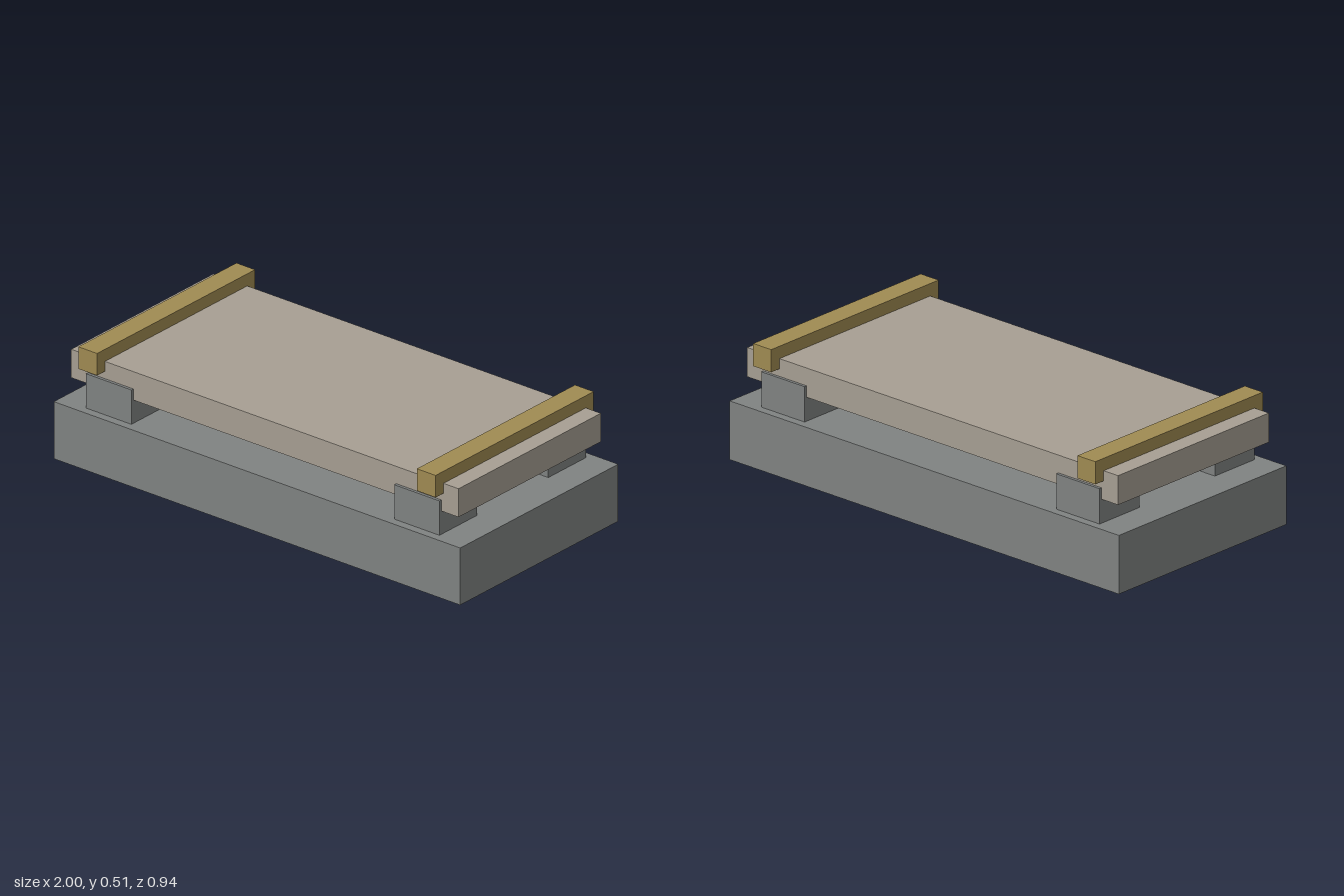
import * as THREE from 'three';

export function createModel() {
  const model = new THREE.Group();
  model.name = 'slabOnBase';

  const material = (name, color) => {
    const m = new THREE.MeshStandardMaterial({ color });
    m.name = name;
    return m;
  };
  const stone = material('grey stone', 0x808382);
  const paleStone = material('pale stone', 0xa79f93);
  const brass = material('dull brass', 0xa08b52);

  // Box given by its centre in x and z, its bottom and top, and its footprint
  const box = (name, mat, x, z, bottom, top, width, depth) => {
    const mesh = new THREE.Mesh(new THREE.BoxGeometry(width, top - bottom, depth), mat);
    mesh.position.set(x, (bottom + top) / 2, z);
    mesh.name = name;
    model.add(mesh);
  };

  // Plinth and the slab resting above it
  box('base', stone, 0, 0, 0, 0.241, 2, 0.944);
  box('slab', paleStone, 0, 0, 0.339, 0.459, 1.906, 0.85);

  for (const side of [1, -1]) {
    const sideName = side > 0 ? 'left' : 'right';
    // Bar across each end of the slab
    box(`${sideName}Bar`, brass, side * 0.833, 0, 0.417, 0.51, 0.092, 0.944);
    // Corner blocks carrying the slab
    for (const end of [1, -1]) {
      const endName = end > 0 ? 'Front' : 'Back';
      box(`${sideName}${endName}Support`, stone, side * 0.758, end * 0.325, 0.241, 0.386, 0.222, 0.224);
    }
  }
  return model;
}
